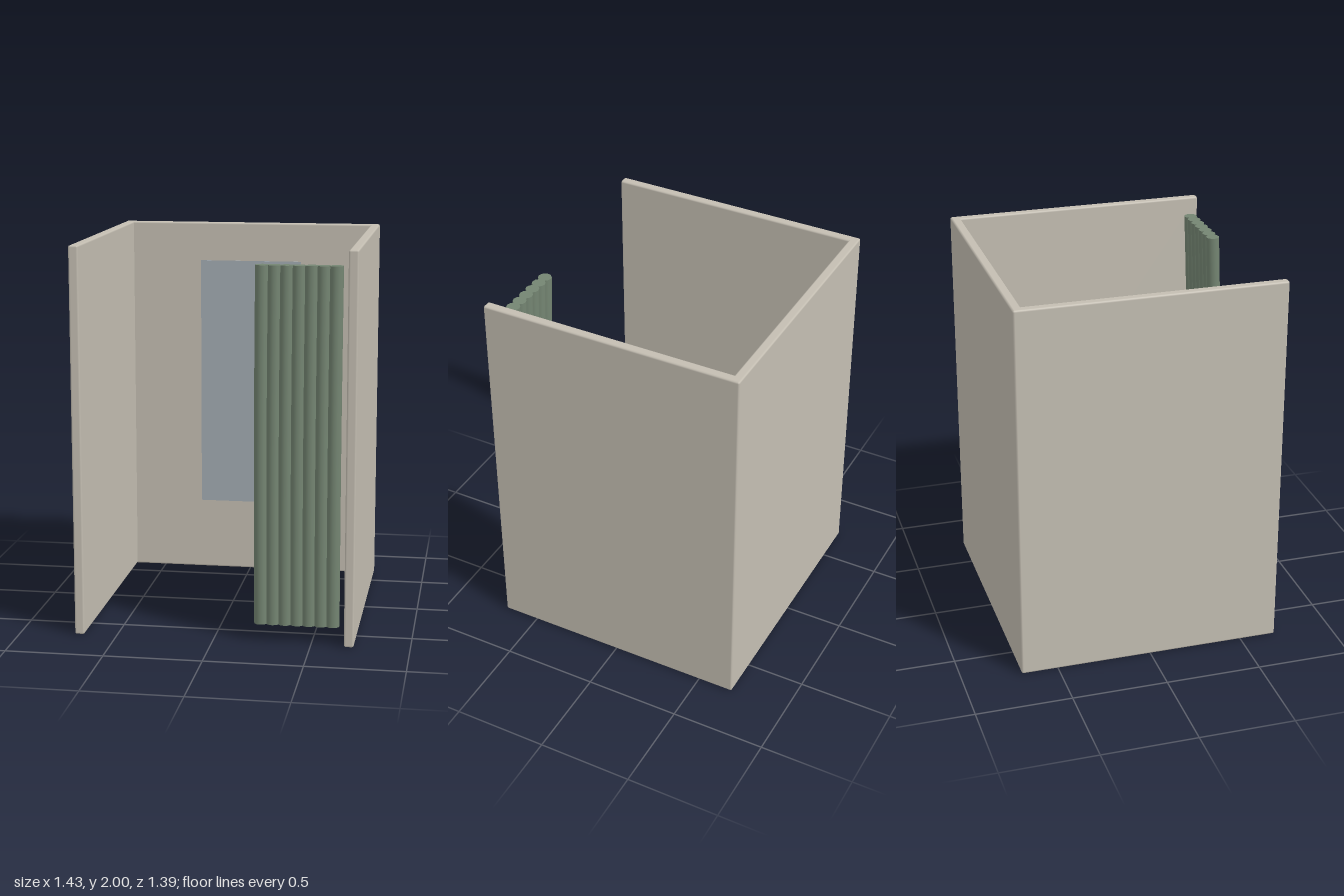
import * as THREE from 'three';
import { RoundedBoxGeometry } from 'three/addons/geometries/RoundedBoxGeometry.js';

const wallMat = new THREE.MeshStandardMaterial({ color: 0xc4beb2 });
const mirrorMat = new THREE.MeshStandardMaterial({ color: 0xa3abb2 });
const curtainMat = new THREE.MeshStandardMaterial({ color: 0x748572 });

const WIDTH = 1.435, HEIGHT = 2, DEPTH = 1.385, WALL = 0.05;

function add(parent, name, geometry, material, x, y, z) {
  const mesh = new THREE.Mesh(geometry, material);
  mesh.name = name;
  mesh.position.set(x, y, z);
  parent.add(mesh);
  return mesh;
}

// One upright fold that bows gently forward at mid height
function foldGeometry(radius, height, bow) {
  const geo = new THREE.CylinderGeometry(radius, radius, height, 12, 10);
  const p = geo.attributes.position;
  for (let i = 0; i < p.count; i++) {
    const t = p.getY(i) / height + 0.5;
    p.setZ(i, p.getZ(i) + bow * Math.sin(Math.PI * t));
  }
  return geo;
}

export function createModel() {
  const booth = new THREE.Group();
  booth.name = 'fittingBooth';

  // Three softened wall panels, open at the front
  add(booth, 'backWall', new RoundedBoxGeometry(WIDTH, HEIGHT, WALL, 1, 0.01),
    wallMat, 0, HEIGHT / 2, -DEPTH / 2 + WALL / 2);
  for (const side of [-1, 1]) {
    add(booth, side > 0 ? 'leftWall' : 'rightWall',
      new RoundedBoxGeometry(WALL, HEIGHT, DEPTH, 1, 0.01),
      wallMat, side * (WIDTH - WALL) / 2, HEIGHT / 2, 0);
  }

  // Thin mirror just in front of the back wall
  add(booth, 'mirror', new THREE.BoxGeometry(0.565, 1.39, 0.004), mirrorMat, 0, 1.093, -0.637);

  // Curtain drawn to one side, made of overlapping folds
  const curtain = new THREE.Group();
  curtain.name = 'curtain';
  const fold = foldGeometry(0.035, 1.825, 0.026);
  for (let i = 0; i < 7; i++) {
    add(curtain, 'curtainFold', fold, curtainMat, 0.24 + i * 0.0609, 1.003, 0.632);
  }
  booth.add(curtain);

  return booth;
}
